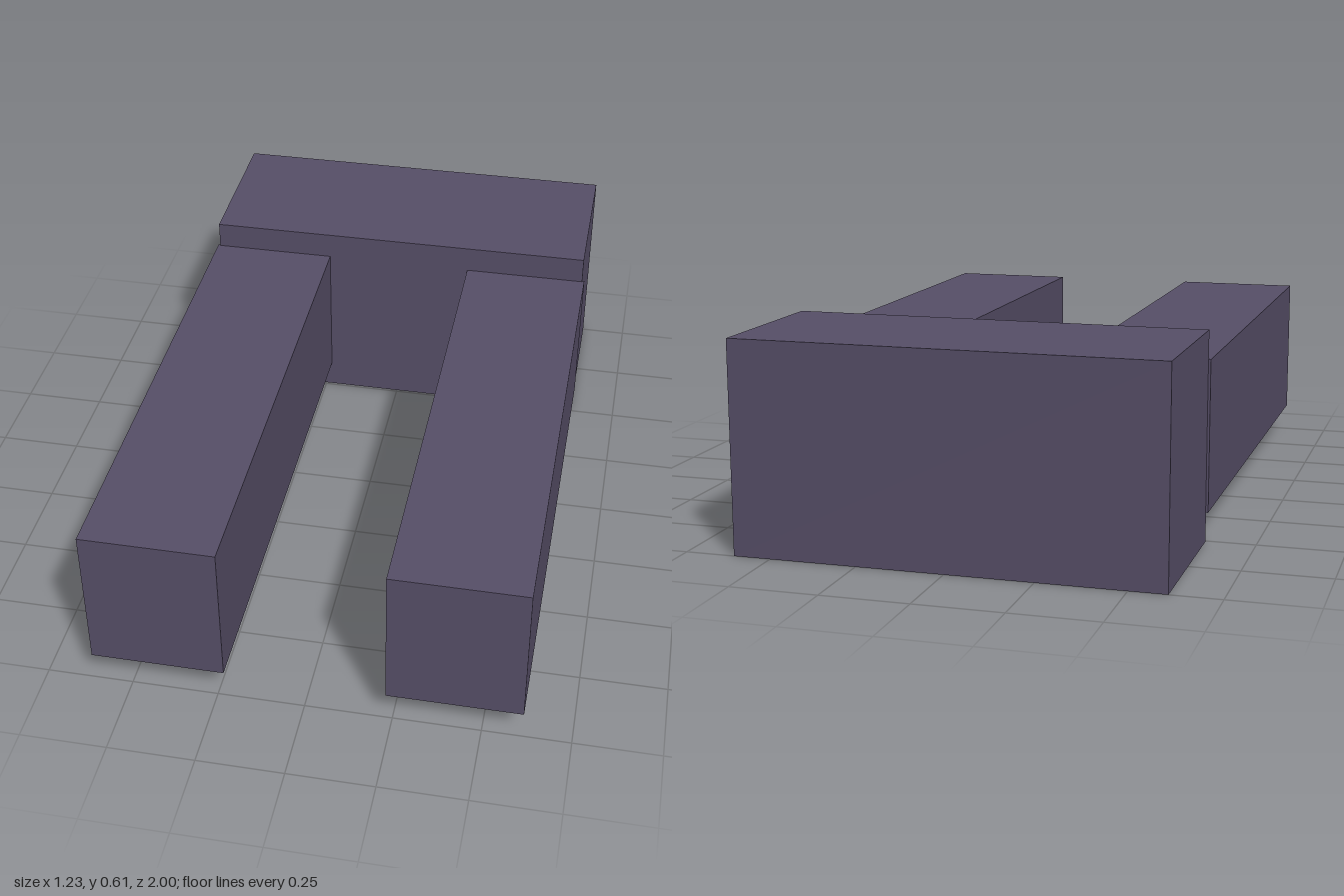
import * as THREE from 'three';

export function createModel() {
  const model = new THREE.Group();
  const slate = new THREE.MeshStandardMaterial({ color: 0x574f68 });
  slate.name = 'slatePurple';

  // Adds a box spanning the given limits on each axis
  function addBox(name, [x0, x1], [y0, y1], [z0, z1]) {
    const mesh = new THREE.Mesh(new THREE.BoxGeometry(x1 - x0, y1 - y0, z1 - z0), slate);
    mesh.position.set((x0 + x1) / 2, (y0 + y1) / 2, (z0 + z1) / 2);
    mesh.name = name;
    model.add(mesh);
  }

  // Rear block
  addBox('rearBlock', [-0.607, 0.607], [0, 0.605], [-1, -0.507]);

  // Two prongs reaching forward, slightly wider apart than the block
  addBox('leftProng', [0.23, 0.614], [0.086, 0.523], [-0.512, 1]);
  addBox('rightProng', [-0.614, -0.23], [0.086, 0.523], [-0.512, 1]);

  return model;
}
